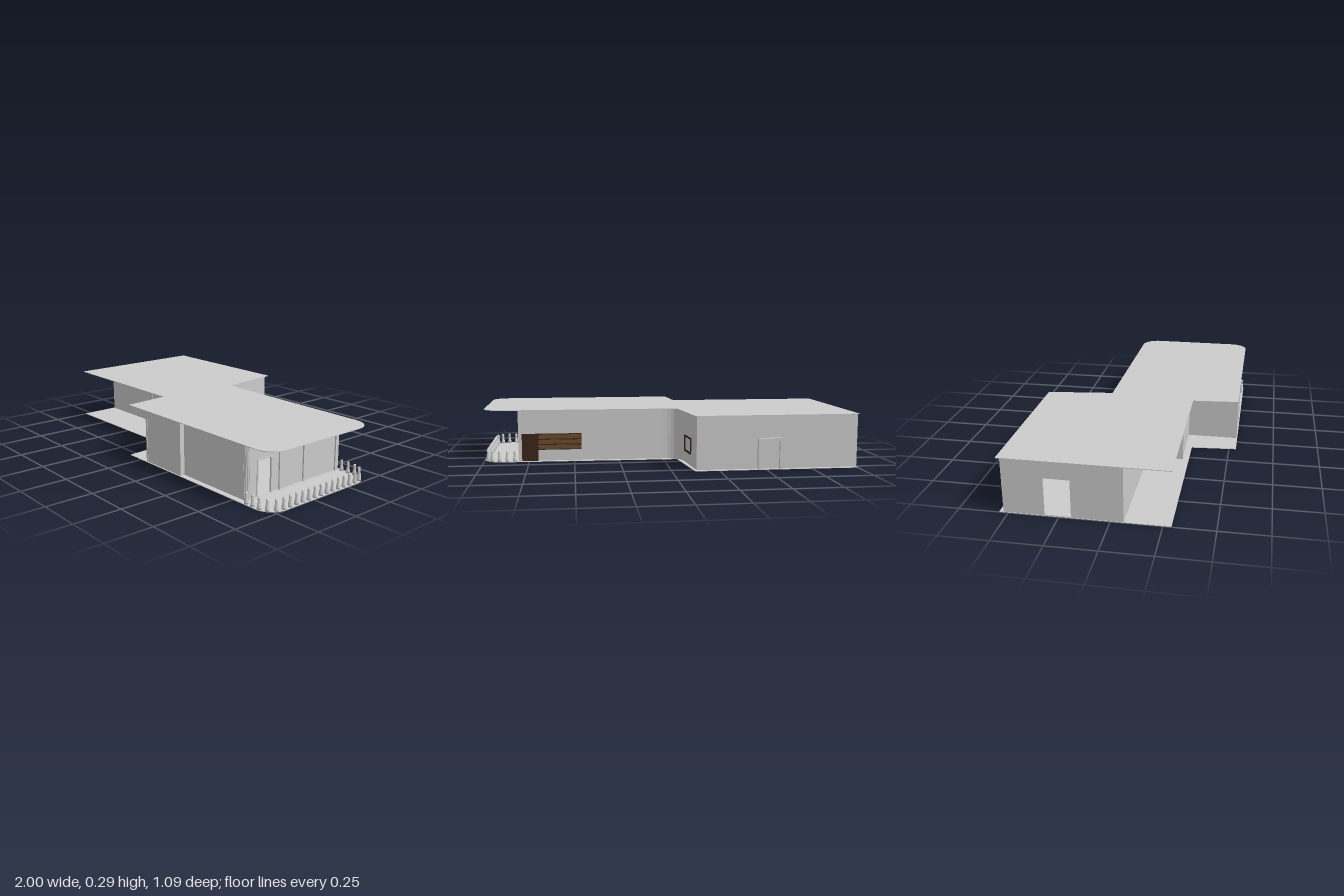
import * as THREE from 'three';

const H = 0.29, T = 0.008, SLAB = 0.003;

export function createModel() {
  const model = new THREE.Group();
  model.name = 'house';
  const mat = (name, color) => {
    const m = new THREE.MeshStandardMaterial({ color });
    m.name = name;
    return m;
  };
  const plaster = mat('grey plaster', 0xcccccc);
  const darkWood = mat('dark wood', 0x3a2416);
  const lightWood = mat('light wood', 0x6b4a2c);

  const add = (name, geo, material, x = 0, y = 0, z = 0, parent = model) => {
    const mesh = new THREE.Mesh(geo, material);
    mesh.name = name;
    mesh.position.set(x, y, z);
    parent.add(mesh);
    return mesh;
  };
  const box = (name, w, h, d, x, y, z, material = plaster, parent = model) =>
    add(name, new THREE.BoxGeometry(w, h, d), material, x, y, z, parent);

  // Upright panel from a to b ([x, z]) with rectangular holes [from, to, bottom, top]
  const panel = (name, a, b, holes = [], y0 = SLAB, y1 = H - SLAB, t = T, material = plaster) => {
    const dx = b[0] - a[0], dz = b[1] - a[1], len = Math.hypot(dx, dz);
    const rect = (P, l, r, lo, hi) =>
      new P().moveTo(l, lo).lineTo(r, lo).lineTo(r, hi).lineTo(l, hi).closePath();
    const shape = rect(THREE.Shape, 0, len, y0, y1);
    for (const h of holes) shape.holes.push(rect(THREE.Path, ...h));
    const geo = new THREE.ExtrudeGeometry(shape, { depth: t, bevelEnabled: false });
    geo.translate(0, 0, -t / 2);
    const mesh = add(name, geo, material, a[0], 0, a[1]);
    mesh.rotation.y = -Math.atan2(dz, dx);
    return mesh;
  };
  // Run of walls through a list of points
  const walls = (name, pts) => {
    for (let i = 1; i < pts.length; i++) panel(name, pts[i - 1], pts[i]);
  };
  // Quarter-turn corner points
  const bend = (start, corner, end, n = 8) =>
    new THREE.QuadraticBezierCurve(...[start, corner, end].map(p => new THREE.Vector2(...p)))
      .getPoints(n).map(p => [p.x, p.y]);

  // Floor and roof share one outline (shape y is -z)
  const plan = new THREE.Shape();
  plan.moveTo(-1, -0.29).lineTo(-0.12, -0.29).lineTo(-0.1, -0.54).lineTo(0.9, -0.54);
  plan.absarc(0.9, -0.44, 0.1, -Math.PI / 2, 0, false);
  plan.lineTo(1, 0.065);
  plan.absarc(0.9, 0.065, 0.1, 0, Math.PI / 2, false);
  plan.lineTo(-0.075, 0.18).lineTo(-0.12, 0.545).lineTo(-1, 0.545).closePath();
  const slab = new THREE.ExtrudeGeometry(plan, { depth: SLAB, bevelEnabled: false, curveSegments: 12 });
  slab.rotateX(-Math.PI / 2);
  add('floor', slab, plaster);
  add('roof', slab, plaster, 0, H - SLAB, 0);

  // Wing: end wall with doorway, back wall with door, curved front wall
  panel('wingEndWall', [-0.994, -0.52], [-0.994, 0.06], [[0.2, 0.33, 0.006, 0.2]]);
  panel('wingBackWall', [-0.998, -0.52], [-0.13, -0.52]);
  walls('wingFrontWall', [[-0.998, 0.06], ...bend([-0.36, 0.06], [-0.28, 0.06], [-0.28, 0.14]), [-0.28, 0.25]]);

  // Wing side wall with window, then the curved corner into the long back wall
  const sideA = [-0.134, -0.52], sideB = [-0.11, -0.25];
  panel('wingSideWall', sideA, sideB, [[0.118, 0.244, 0.073, 0.147]]);
  panel('windowFrame', [-0.123, -0.41], [-0.111, -0.27],
    [[0.009, 0.131, 0.074, 0.146]], 0.065, 0.155, 0.016, darkWood);
  panel('windowPane', [-0.123, -0.405], [-0.111, -0.275], [], 0.068, 0.152, 0.003);
  walls('backWall', [...bend(sideB, [-0.1, -0.155], [0, -0.153]), [0.81, -0.14]]);

  // Entrance recess and projecting small room
  walls('recessWall', [[-0.28, 0.25], [0.055, 0.25]]);
  walls('roomWall', [[0.055, 0.25], [0.055, 0.53], [0.34, 0.53], [0.34, 0.25], [0.055, 0.25]]);
  walls('frontWall', [[0.34, 0.505], ...bend([0.79, 0.505], [0.808, 0.505], [0.808, 0.485], 5)]);

  // Corner posts of the front
  for (const [x, z] of [[-0.28, 0.252], [0.055, 0.53], [0.34, 0.53]])
    box('cornerPost', 0.012, H - 2 * SLAB, 0.012, x, H / 2, z);

  // Terrace facade: frame with three recessed bays, doorway in the first
  panel('terraceFrame', [0.806, 0.49], [0.806, -0.14],
    [[0.01, 0.2, 0.005, 0.275], [0.21, 0.37, 0.005, 0.275], [0.38, 0.612, 0.005, 0.275]]);
  panel('terraceDoorBay', [0.799, 0.485], [0.799, 0.285], [[0.055, 0.145, 0.004, 0.185]], SLAB, 0.28, 0.004);
  panel('terraceBay', [0.799, 0.285], [0.799, 0.115], [], SLAB, 0.28, 0.004);
  panel('terraceBay', [0.799, 0.115], [0.799, -0.13], [], SLAB, 0.28, 0.004);

  // Door frames
  panel('terraceDoorFrame', [0.8, 0.435], [0.8, 0.335], [[0.007, 0.093, 0.0035, 0.183]], SLAB, 0.19, 0.01);
  panel('backDoorFrame', [-0.585, -0.531], [-0.455, -0.531], [[0.014, 0.116, 0.004, 0.153]], SLAB, 0.167, 0.026);
  panel('backDoor', [-0.575, -0.526], [-0.465, -0.526], [], SLAB, 0.158, 0.006);

  // Wooden back door and slatted shutter beside it
  box('woodenDoor', 0.09, 0.152, 0.016, 0.745, 0.079, -0.148, darkWood);
  box('shutterBacking', 0.24, 0.09, 0.012, 0.58, 0.11, -0.148, darkWood);
  for (let i = 0; i < 3; i++)
    box('shutterSlat', 0.236, 0.022, 0.006, 0.58, 0.081 + i * 0.029, -0.157, lightWood);

  // Balusters along the terrace edge
  const profile = [[0, 0], [0.011, 0], [0.011, 0.008], [0.009, 0.022], [0.006, 0.036],
    [0.0075, 0.05], [0.006, 0.058], [0, 0.06]].map(p => new THREE.Vector2(...p));
  const baluster = new THREE.LatheGeometry(profile, 10);
  const line = new THREE.CurvePath();
  const v = (x, z) => new THREE.Vector3(x, 0, z);
  line.add(new THREE.LineCurve3(v(0.83, 0.527), v(0.9, 0.527)));
  line.add(new THREE.QuadraticBezierCurve3(v(0.9, 0.527), v(0.986, 0.527), v(0.986, 0.44)));
  line.add(new THREE.LineCurve3(v(0.986, 0.44), v(0.986, -0.065)));
  line.add(new THREE.QuadraticBezierCurve3(v(0.986, -0.065), v(0.986, -0.152), v(0.9, -0.152)));
  line.add(new THREE.LineCurve3(v(0.9, -0.152), v(0.83, -0.151)));
  const balustrade = new THREE.Group();
  balustrade.name = 'balustrade';
  model.add(balustrade);
  const count = 22;
  for (let i = 0; i <= count; i++) {
    const p = line.getPointAt(i / count);
    add('baluster', baluster, plaster, p.x, SLAB, p.z, balustrade);
  }

  return model;
}
